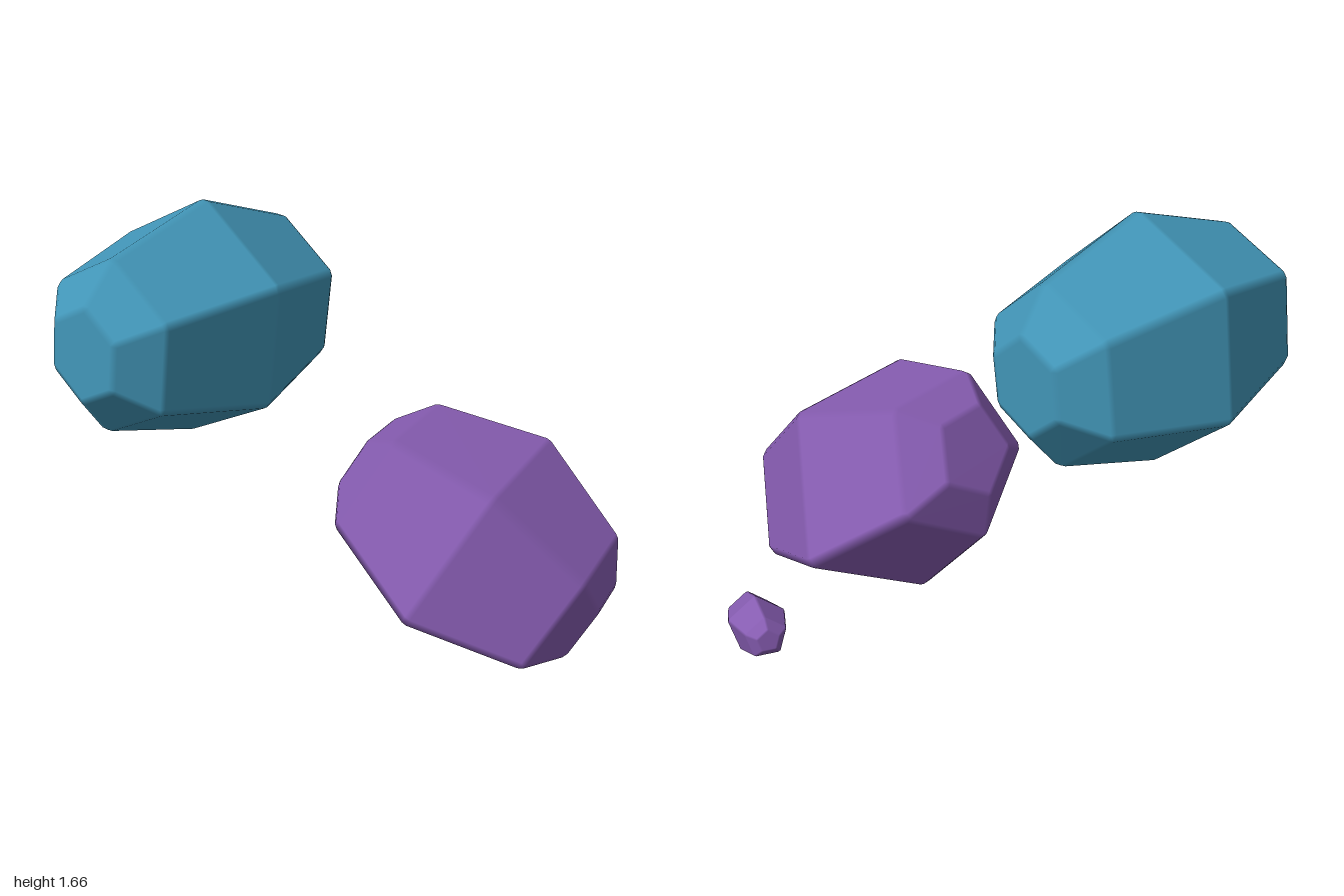
import * as THREE from 'three';
import { ConvexGeometry } from 'three/addons/geometries/ConvexGeometry.js';

// Corners of a faceted barrel: a wide middle ring, two narrower rings and two small end facets
function barrelCorners({ axis, first, sides, radius, stretch, ringAt, capAt }) {
  const a = new THREE.Vector3(...axis).normalize();
  const u = new THREE.Vector3(...first);
  u.addScaledVector(a, -u.dot(a)).normalize();
  const w = a.clone().cross(u);
  const rings = [[-capAt, 0.37], [-ringAt, 0.68], [0, 1], [ringAt, 0.68], [capAt, 0.37]];
  const corners = [];
  for (const [along, scale] of rings) {
    for (let i = 0; i < sides; i++) {
      const t = (i / sides) * Math.PI * 2;
      corners.push(new THREE.Vector3()
        .addScaledVector(a, along)
        .addScaledVector(u, Math.cos(t) * radius * stretch * scale)
        .addScaledVector(w, Math.sin(t) * radius * scale));
    }
  }
  return corners;
}

// Convex solid with softly rounded edges: every facet is pushed out from an inner hull,
// and each vertex keeps its facet's normal so the narrow bevels shade smoothly
function softHull(corners, bevel) {
  const core = corners.map((p) => p.clone().setLength(p.length() - bevel));
  const inner = new ConvexGeometry(core);
  const pos = inner.attributes.position;
  const tri = new THREE.Triangle();
  const points = [];
  const normals = [];
  for (let i = 0; i < pos.count; i += 3) {
    tri.setFromAttributeAndIndices(pos, i, i + 1, i + 2);
    const n = tri.getNormal(new THREE.Vector3());
    for (const v of [tri.a, tri.b, tri.c]) {
      const p = v.clone().addScaledVector(n, bevel);
      if (points.some((q) => q.distanceTo(p) < 1e-4)) continue;
      points.push(p);
      normals.push(n);
    }
  }
  const hull = new ConvexGeometry(points);
  const hp = hull.attributes.position;
  const v = new THREE.Vector3();
  for (let i = 0; i < hp.count; i++) {
    v.fromBufferAttribute(hp, i);
    let best = 0;
    points.forEach((p, k) => {
      if (p.distanceToSquared(v) < points[best].distanceToSquared(v)) best = k;
    });
    hull.attributes.normal.setXYZ(i, normals[best].x, normals[best].y, normals[best].z);
  }
  return hull;
}

export function createModel() {
  const teal = new THREE.MeshStandardMaterial({ color: 0x4296b8 });
  teal.name = 'teal';
  const purple = new THREE.MeshStandardMaterial({ color: 0x865cb1 });
  purple.name = 'purple';

  const stones = [
    // six-sided stone floating high at the back
    { name: 'tealStone', material: teal, center: [-0.495, 1.21, -0.225],
      axis: [-0.735, 0.02, 0.68], first: [0.015, 0.44, 0.055],
      sides: 6, radius: 0.415, stretch: 1.07, ringAt: 0.45, capAt: 0.56, bevel: 0.035 },
    // large five-sided stone, slightly stretched
    { name: 'largePurpleStone', material: purple, center: [0.452, 0.455, 0.21],
      axis: [0.708, -0.478, 0.52], first: [0.228, -0.125, -0.45],
      sides: 5, radius: 0.45, stretch: 1.18, ringAt: 0.413, capAt: 0.505, bevel: 0.035 },
    // small five-sided pebble
    { name: 'smallPurpleStone', material: purple, center: [0.875, 0.165, -0.395],
      axis: [0.42, -0.15, 0.9], first: [0, 1, 0.1],
      sides: 5, radius: 0.109, stretch: 1, ringAt: 0.13, capAt: 0.16, bevel: 0.009 },
  ];

  const group = new THREE.Group();
  group.name = 'stones';
  for (const s of stones) {
    const mesh = new THREE.Mesh(softHull(barrelCorners(s), s.bevel), s.material);
    mesh.name = s.name;
    mesh.position.set(...s.center);
    group.add(mesh);
  }
  return group;
}
